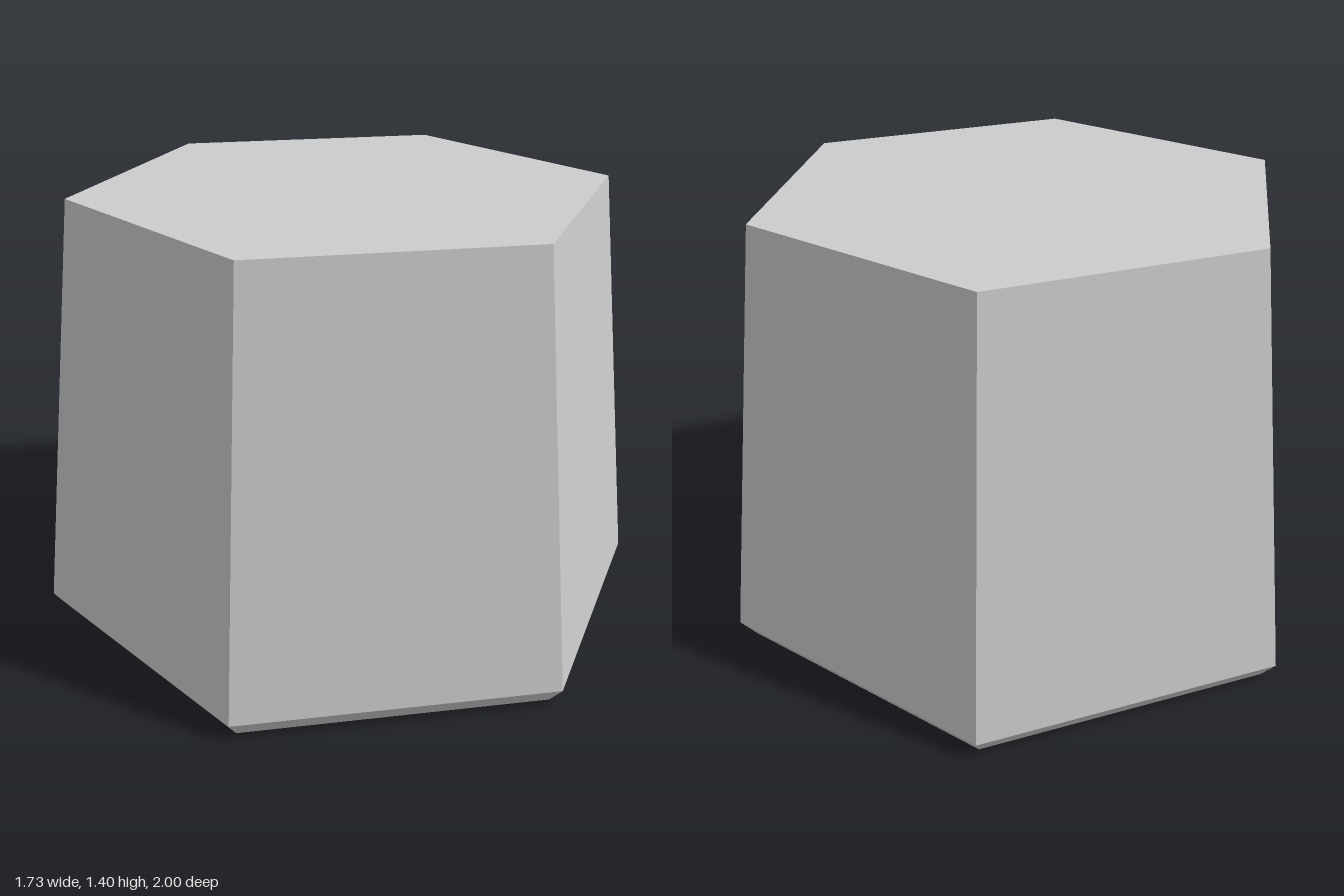
import * as THREE from 'three';
import { toCreasedNormals } from 'three/addons/utils/BufferGeometryUtils.js';

const HEIGHT = 1.405, BASE_RADIUS = 0.95, BORE_RADIUS = 0.24, MOUTH_RADIUS = 0.285;
const BORE_DEPTH = 1.0, BORE_FLAT = 0.21, SEGMENTS = 64;

const points = (list) => list.map(([x, y]) => new THREE.Vector2(x, y));

export function createModel() {
  const group = new THREE.Group();
  const grey = new THREE.MeshStandardMaterial({ color: 0xcccccc });
  grey.name = 'light grey';

  const add = (name, geometry) => {
    const mesh = new THREE.Mesh(geometry, grey);
    mesh.name = name;
    group.add(mesh);
  };

  // Tapered hexagonal body with a chamfered foot and a flat top
  const profile = points([[BASE_RADIUS, 0], [1, 0.055], [0.865, HEIGHT], [0, HEIGHT]]);
  add('body', toCreasedNormals(new THREE.LatheGeometry(profile, 6), 0.1));

  // Underside with the round mouth of the bore
  const underside = new THREE.Shape(Array.from({ length: 6 }, (_, i) => {
    const angle = (i * Math.PI) / 3;
    return new THREE.Vector2(Math.sin(angle) * BASE_RADIUS, Math.cos(angle) * BASE_RADIUS);
  }));
  underside.holes.push(new THREE.Path().absarc(0, 0, MOUTH_RADIUS, 0, Math.PI * 2));
  add('underside', new THREE.ShapeGeometry(underside, SEGMENTS).rotateX(Math.PI / 2));

  // Blind shaft bore: countersunk mouth, then a D section with its flat towards +x
  const boreProfile = points([
    [0, BORE_DEPTH], [BORE_RADIUS, BORE_DEPTH], [BORE_RADIUS, 0.045],
    [BORE_RADIUS, 0.045], [MOUTH_RADIUS, 0],
  ]);
  const bore = new THREE.LatheGeometry(boreProfile, SEGMENTS);
  const position = bore.attributes.position;
  for (let i = 0; i < position.count; i++) {
    // The first three rings form the D section; the others stay round
    if (i % boreProfile.length < 3) position.setX(i, Math.min(position.getX(i), BORE_FLAT));
  }
  add('shaftBore', toCreasedNormals(bore, 0.4));

  return group;
}
